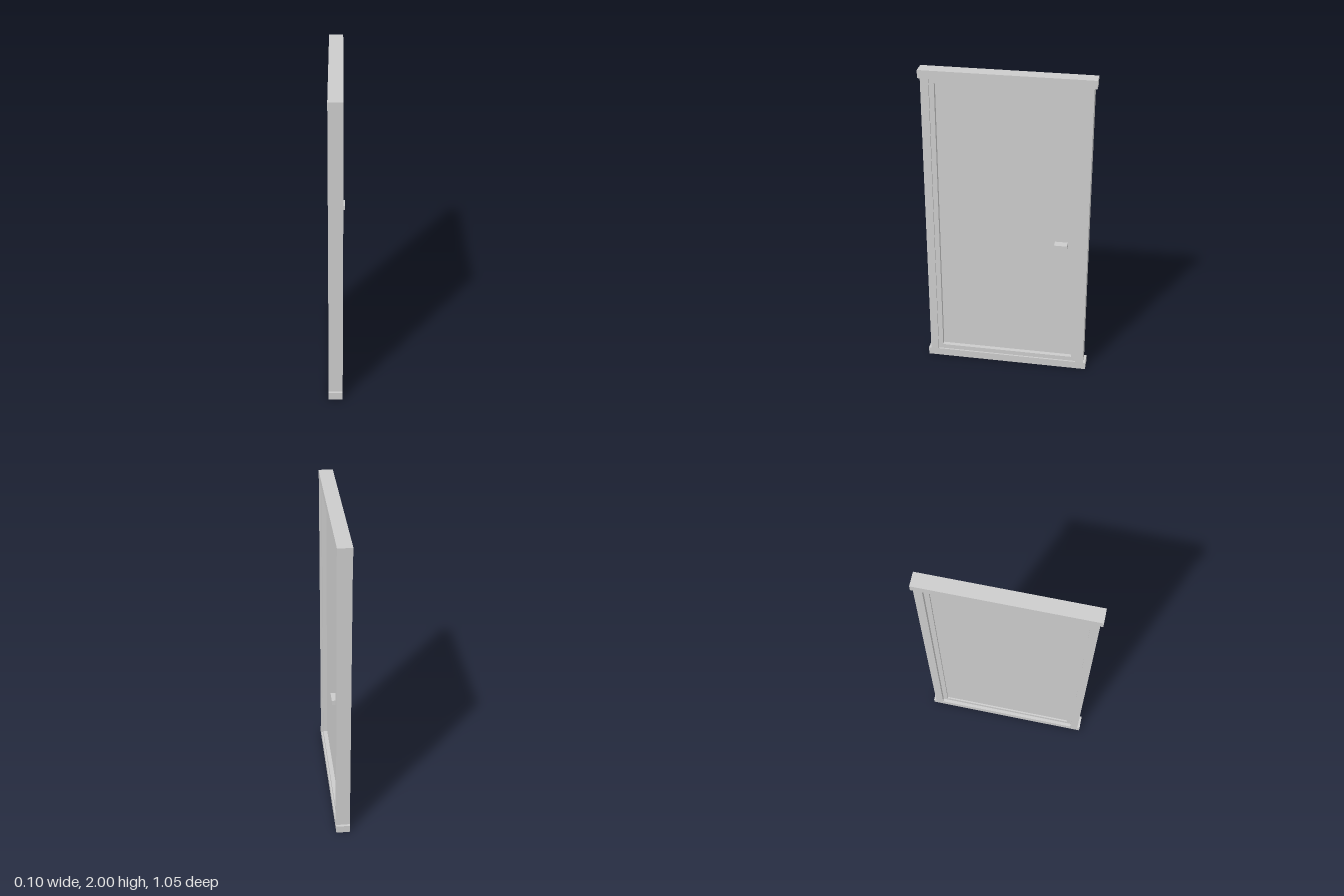
import * as THREE from 'three';

const material = new THREE.MeshStandardMaterial({ color: 0xcccccc, flatShading: true });

// Box given by its limits on each axis
function box(name, [x0, x1], [y0, y1], [z0, z1]) {
  const mesh = new THREE.Mesh(new THREE.BoxGeometry(x1 - x0, y1 - y0, z1 - z0), material);
  mesh.name = name;
  mesh.position.set((x0 + x1) / 2, (y0 + y1) / 2, (z0 + z1) / 2);
  return mesh;
}

export function createModel() {
  const model = new THREE.Group();
  model.name = 'door';
  const frameX = [-0.05, 0.037];
  const leafX = [-0.03, 0.027];

  // Outer frame: sill and head overhang the two jambs
  model.add(box('sill', frameX, [0, 0.05], [-0.523, 0.523]));
  model.add(box('head', frameX, [1.95, 2], [-0.523, 0.523]));
  model.add(box('jamb', frameX, [0.05, 1.95], [0.457, 0.507]));
  model.add(box('jamb', frameX, [0.05, 1.95], [-0.507, -0.457]));

  // Leaf border, set back from the frame, with an opening for the panel
  const border = new THREE.Shape();
  border.moveTo(-0.457, 0.05).lineTo(0.457, 0.05).lineTo(0.457, 1.95).lineTo(-0.457, 1.95).closePath();
  const opening = new THREE.Path();
  opening.moveTo(-0.427, 0.08).lineTo(-0.427, 1.92).lineTo(0.427, 1.92).lineTo(0.427, 0.08).closePath();
  border.holes.push(opening);
  const borderGeometry = new THREE.ExtrudeGeometry(border, { depth: leafX[1] - leafX[0], bevelEnabled: false });
  borderGeometry.rotateY(Math.PI / 2).translate(leafX[0], 0, 0);
  const leafBorder = new THREE.Mesh(borderGeometry, material);
  leafBorder.name = 'leafBorder';
  model.add(leafBorder);

  // Recessed panel and the handle standing out of it
  model.add(box('panel', [-0.02, 0], [0.08, 1.92], [-0.427, 0.427]));
  model.add(box('handle', [-0.01, 0.05], [0.89, 0.92], [-0.38, -0.3]));
  return model;
}
